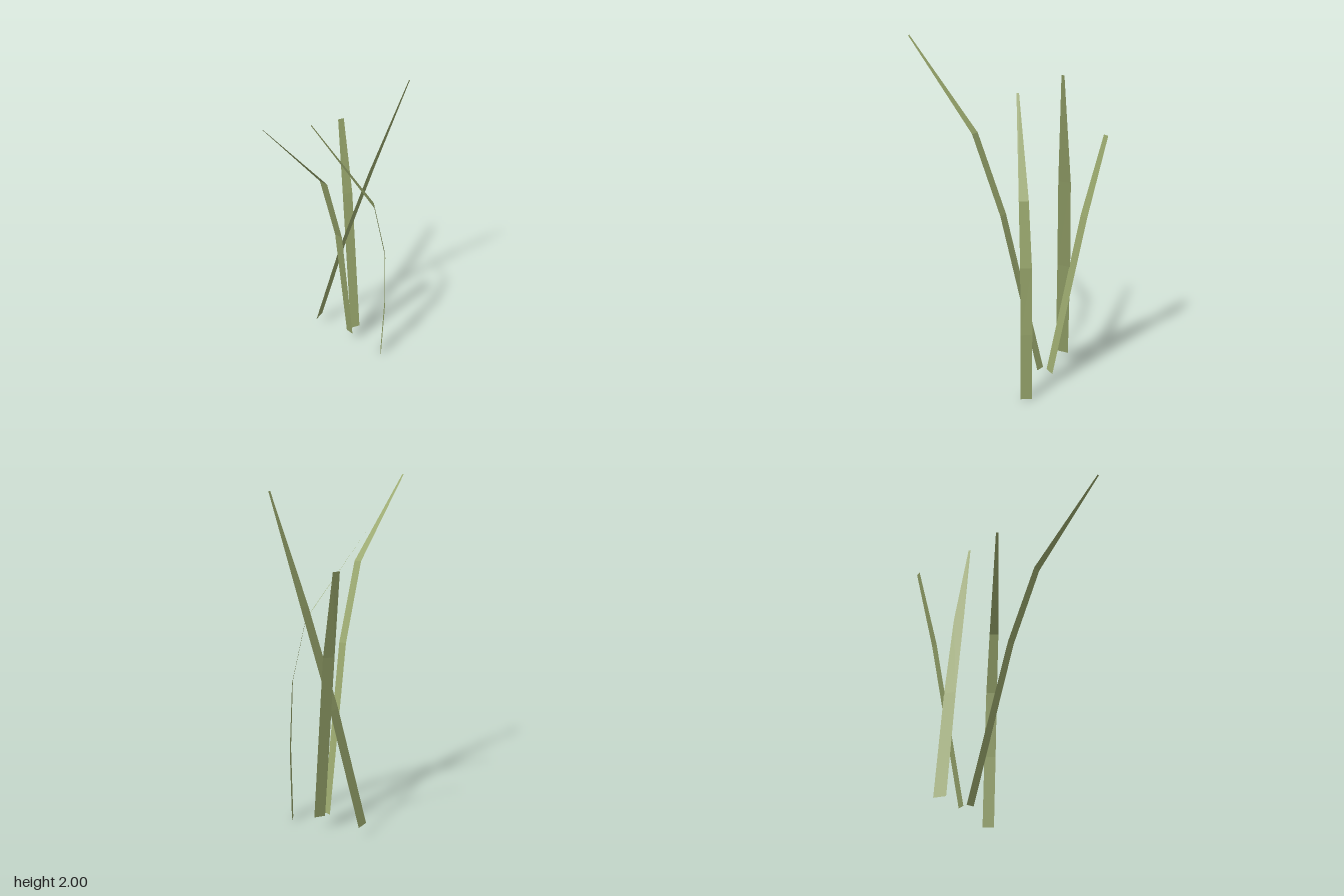
import * as THREE from 'three';

// Each blade is a flat ribbon: rows of [y, x and z of one edge, x and z of the other edge], base to tip
const BLADES = {
  tallBendingBlade: [
    [0.075, 0.29, 0.034, 0.30, -0.019],
    [1.03, 0.064, 0.09, 0.07, 0.037],
    [1.49, -0.11, 0.108, -0.105, 0.057],
    [2.0, -0.56, 0.073, -0.558, 0.061],
  ],
  frontBlade: [
    [0, 0.302, 0.256, 0.356, 0.219],
    [0.42, 0.302, 0.265, 0.357, 0.227],
    [0.82, 0.29, 0.254, 0.342, 0.215],
    [1.18, 0.241, 0.191, 0.285, 0.158],
    [1.7, 0.046, -0.113, 0.058, -0.121],
  ],
  forwardLeaningBlade: [
    [0.07, 0.267, -0.25, 0.347, -0.258],
    [0.72, 0.333, -0.108, 0.413, -0.115],
    [1.28, 0.4, 0.04, 0.472, 0.033],
    [1.89, 0.492, 0.217, 0.508, 0.216],
  ],
  backLeaningBlade: [
    [0.075, 0.33, -0.008, 0.386, 0.025],
    [1.03, 0.442, -0.17, 0.498, -0.137],
    [1.49, 0.52, -0.268, 0.554, -0.25],
  ],
};

// Ribbon surface joining the rows with quads
function ribbon(rows) {
  const positions = [];
  const indices = [];
  rows.forEach(([y, ax, az, bx, bz], i) => {
    positions.push(ax, y, az, bx, y, bz);
    if (i > 0) {
      const k = 2 * (i - 1);
      indices.push(k, k + 1, k + 3, k, k + 3, k + 2);
    }
  });
  const geometry = new THREE.BufferGeometry();
  geometry.setAttribute('position', new THREE.Float32BufferAttribute(positions, 3));
  geometry.setIndex(indices);
  const flat = geometry.toNonIndexed();
  flat.computeVertexNormals();
  return flat;
}

export function createModel() {
  const group = new THREE.Group();
  group.name = 'grassTuft';
  const grassGreen = new THREE.MeshStandardMaterial({
    name: 'grassGreen', color: 0x98a66c, flatShading: true, side: THREE.DoubleSide,
  });
  for (const [name, rows] of Object.entries(BLADES)) {
    const blade = new THREE.Mesh(ribbon(rows), grassGreen);
    blade.name = name;
    group.add(blade);
  }
  return group;
}
